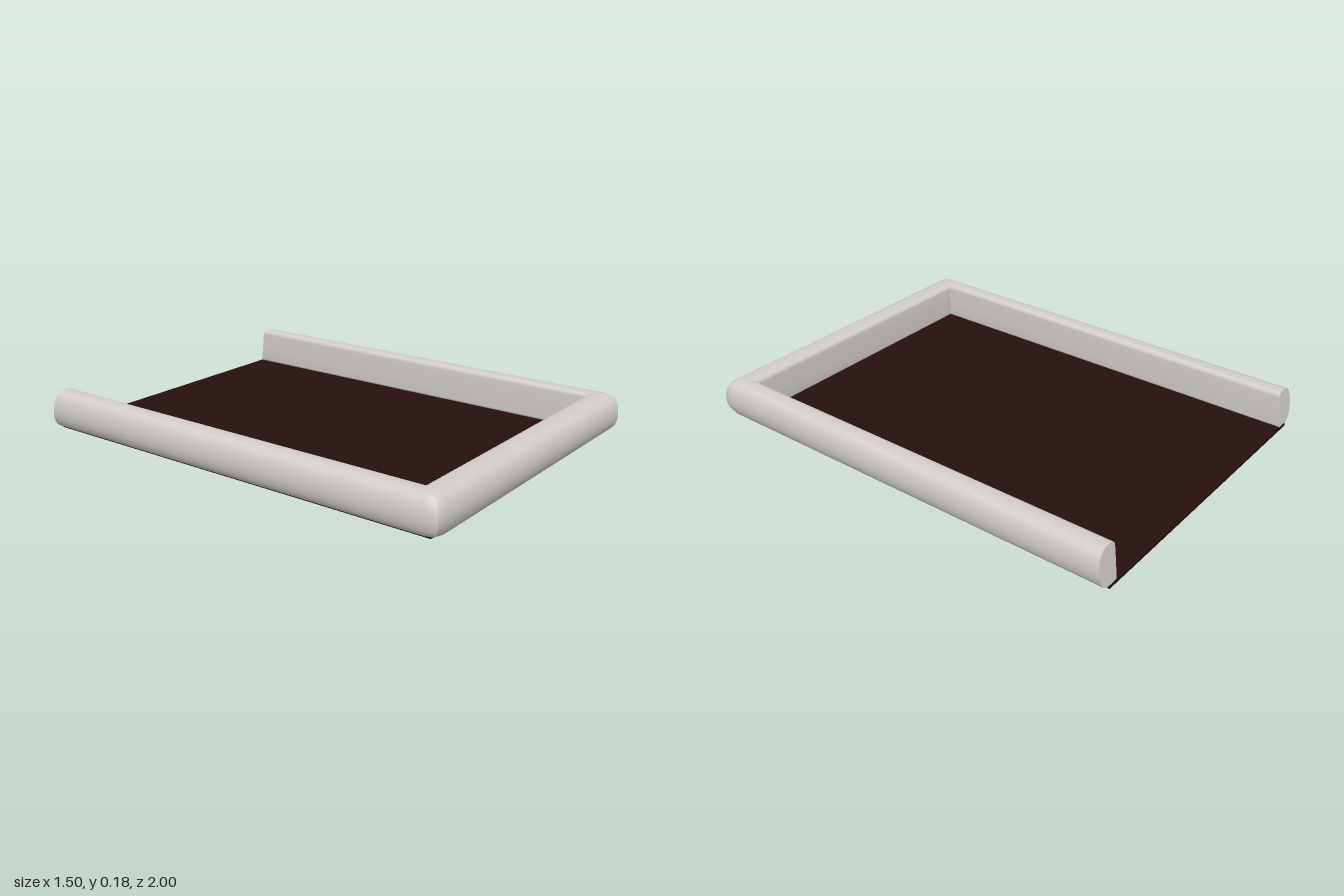
import * as THREE from 'three';

// Rail cross-section: [outward fraction, height], from inner foot over the top to the outer foot
const PROFILE = [
  [0.04, 0.012], [0, 0.02], [0, 0.09], [0, 0.155], [0.03, 0.166], [0.1, 0.173], [0.22, 0.176],
  [0.5, 0.176], [0.68, 0.171], [0.82, 0.159], [0.92, 0.14], [0.98, 0.115], [1, 0.09],
  [0.98, 0.066], [0.92, 0.043], [0.82, 0.027], [0.68, 0.015], [0.5, 0.011], [0.2, 0.01],
];
const INNER_X = 0.645, INNER_Z = 0.867;

// Each station turns a profile point into a position
const backEnd = (s) => (o, y) => [s * (INNER_X + o * 0.105), y, -0.998 + y * 0.11];
const corner = (s, dx, dz) => (o, y) => [s * (INNER_X + o * dx), y, INNER_Z + o * dz];

function makeGeometry(positions, indices) {
  const geometry = new THREE.BufferGeometry();
  geometry.setAttribute('position', new THREE.Float32BufferAttribute(positions, 3));
  geometry.setIndex(indices);
  geometry.computeVertexNormals();
  return geometry;
}

// Skin between successive stations
function sweep(stations) {
  const n = PROFILE.length;
  const positions = stations.flatMap((at) => PROFILE.flatMap(([o, y]) => at(o, y)));
  const indices = [];
  for (let i = 0; i < stations.length - 1; i++) {
    for (let j = 0; j < n; j++) {
      const k = (j + 1) % n;
      const a = i * n + j, b = i * n + k, c = a + n, d = b + n;
      indices.push(a, c, b, b, c, d);
    }
  }
  return makeGeometry(positions, indices);
}

// Flat end of a rail
function endCap(s) {
  const at = backEnd(s);
  const positions = [...at(0.5, 0.09), ...PROFILE.flatMap(([o, y]) => at(o, y))];
  const indices = [];
  for (let j = 0; j < PROFILE.length; j++) {
    const a = j + 1, b = ((j + 1) % PROFILE.length) + 1;
    indices.push(0, ...(s > 0 ? [a, b] : [b, a]));
  }
  return makeGeometry(positions, indices);
}

export function createModel() {
  const group = new THREE.Group();
  const paleGrey = new THREE.MeshStandardMaterial({ color: 0xd2cdc8 });
  paleGrey.name = 'paleGrey';
  const darkMaroon = new THREE.MeshStandardMaterial({ color: 0x260f0f });
  darkMaroon.name = 'darkMaroon';

  const add = (name, geometry, material) => {
    const mesh = new THREE.Mesh(geometry, material);
    mesh.name = name;
    group.add(mesh);
    return mesh;
  };

  // Thin floor panel, open at the back
  add('floorPanel', new THREE.BoxGeometry(1.39, 0.012, 1.93), darkMaroon).position.set(0, 0.006, -0.035);

  // Padded rails, mitred at softly rounded front corners
  const sideBend = (s) => corner(s, 0.105, 0.07);
  const mitre = (s) => corner(s, 0.093, 0.115);
  const frontBend = (s) => corner(s, 0.055, 0.131);
  add('leftRail', sweep([backEnd(1), sideBend(1), mitre(1)]), paleGrey);
  add('frontRail', sweep([mitre(1), frontBend(1), frontBend(-1), mitre(-1)]), paleGrey);
  add('rightRail', sweep([mitre(-1), sideBend(-1), backEnd(-1)]), paleGrey);
  add('leftRailEnd', endCap(1), paleGrey);
  add('rightRailEnd', endCap(-1), paleGrey);

  return group;
}
